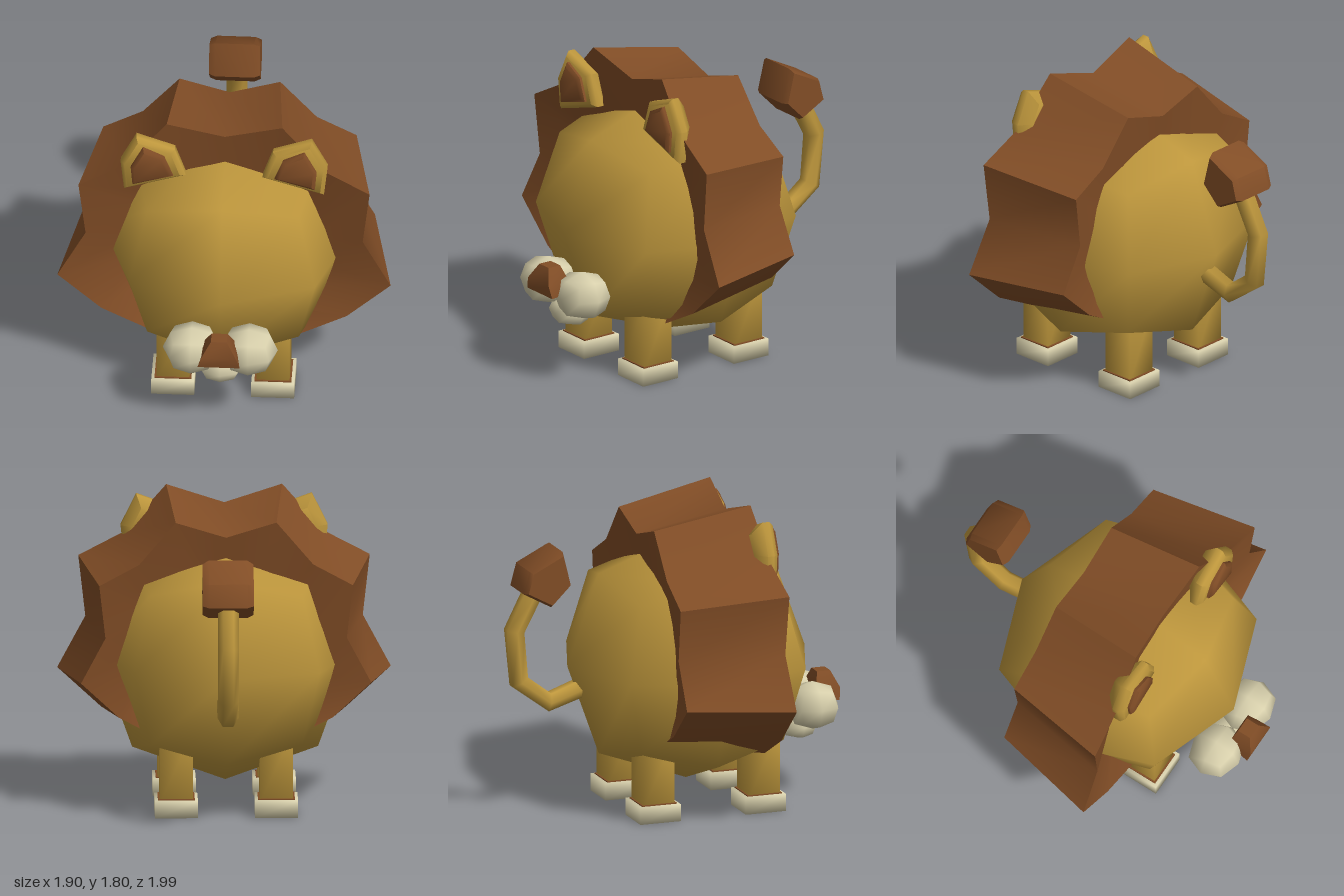
import * as THREE from 'three';
import { mergeVertices, toCreasedNormals } from 'three/addons/utils/BufferGeometryUtils.js';

const material = (name, color) => {
  const m = new THREE.MeshStandardMaterial({ color });
  m.name = name;
  return m;
};

// Weld corners and average the normals
function smooth(geo) {
  geo.deleteAttribute('normal');
  geo.deleteAttribute('uv');
  const g = mergeVertices(geo, 1e-4);
  g.computeVertexNormals();
  return g;
}

// Rounded ball made from a cube with each side split in four
function ball(rx, ry, rz) {
  const geo = new THREE.BoxGeometry(2, 2, 2, 2, 2, 2);
  const p = geo.attributes.position;
  const v = new THREE.Vector3();
  for (let i = 0; i < p.count; i++) {
    v.fromBufferAttribute(p, i);
    const r = v.lengthSq() > 1.5 ? 1.04 : 1;
    v.normalize().multiplyScalar(r);
    p.setXYZ(i, v.x * rx, v.y * ry, v.z * rz);
  }
  return smooth(geo);
}

// Closed solid through matching sections, each counterclockwise about the path
function loft(sections, crease = 0.9) {
  const n = sections[0].length, index = [];
  for (let i = 0; i < sections.length - 1; i++) {
    for (let j = 0; j < n; j++) {
      const a = i * n + j, b = i * n + (j + 1) % n;
      index.push(a, b, b + n, a, b + n, a + n);
    }
  }
  const last = (sections.length - 1) * n;
  for (let j = 1; j < n - 1; j++) {
    index.push(0, j + 1, j, last, last + j, last + j + 1);
  }
  const geo = new THREE.BufferGeometry();
  geo.setAttribute('position', new THREE.Float32BufferAttribute(sections.flat(2), 3));
  geo.setIndex(index);
  return toCreasedNormals(geo, crease);
}

// Outline in x and y placed at depth z, scaled about its middle, mirrored by side
function outline(points, z, scale, side) {
  const cx = points.reduce((s, p) => s + p[0], 0) / points.length;
  const cy = points.reduce((s, p) => s + p[1], 0) / points.length;
  const out = points.map(([x, y]) => [side * (cx + (x - cx) * scale), cy + (y - cy) * scale, z]);
  return side < 0 ? out.reverse() : out;
}

export function createModel() {
  const model = new THREE.Group();
  model.name = 'lion';
  const gold = material('golden fur', 0xbd963c);
  const brown = material('brown mane', 0x814d26);
  const cream = material('cream fur', 0xd8d0ac);
  const add = (name, geo, mat, x = 0, y = 0, z = 0) => {
    const mesh = new THREE.Mesh(geo, mat);
    mesh.name = name;
    mesh.position.set(x, y, z);
    model.add(mesh);
    return mesh;
  };

  // Body
  add('body', ball(0.72, 0.72, 0.72), gold, 0, 0.86, 0.1);

  // Mane: jagged arch, wider in front and open under the belly
  const half = [[0.43, 0.36, 0.42], [0.7, 0.5, 0.42], [0.95, 0.73, 0.42], [0.79, 1.03, 0.41],
    [0.83, 1.38, 0.42], [0.57, 1.52, 0.4], [0.33, 1.8, 0.37], [0, 1.7, 0.34]];
  const arch = [...half, ...half.slice(0, -1).reverse().map(([x, y, z]) => [-x, y, z])];
  add('mane', loft(arch.map(([x, y, z]) => {
    const k = 0.52 / Math.hypot(x, y - 0.86);
    const ix = x * k, iy = 0.86 + (y - 0.86) * k;
    return [[x, y, z], [x * 0.87, 0.95 + (y - 0.95) * 0.87, -0.2], [ix, iy, -0.16], [ix, iy, 0.3]];
  }), 1.0), brown);

  // Ears
  const ear = [[0.22, 1.48], [0.57, 1.37], [0.59, 1.56], [0.5, 1.74], [0.28, 1.66]];
  const innerEar = [[0.29, 1.5], [0.52, 1.43], [0.53, 1.55], [0.46, 1.69], [0.34, 1.63]];
  for (const side of [1, -1]) {
    const label = side > 0 ? 'left' : 'right';
    add(label + 'Ear', loft([[0.32, 0.6], [0.38, 1], [0.42, 1], [0.445, 0.85]]
      .map(([z, s]) => outline(ear, z, s, side))), gold);
    add(label + 'InnerEar', loft([[0.42, 1], [0.46, 1], [0.475, 0.8]]
      .map(([z, s]) => outline(innerEar, z, s, side))), brown);

    // Legs and paws
    for (const [end, z] of [['Front', 0.435], ['Back', -0.205]]) {
      add(label + end + 'Leg', smooth(new THREE.BoxGeometry(0.19, 0.42, 0.19)), gold, side * 0.285, 0.29, z);
      add(label + end + 'Paw', smooth(new THREE.BoxGeometry(0.245, 0.1, 0.245)), cream, side * 0.285, 0.05, z);
      add(label + end + 'PawTrim', new THREE.BoxGeometry(0.21, 0.008, 0.21), brown, side * 0.285, 0.102, z);
    }

    // Cheeks
    add(label + 'Cheek', ball(0.165, 0.14, 0.15), cream, side * 0.163, 0.54, 0.81);
  }

  // Chin and nose
  add('chin', ball(0.13, 0.085, 0.11), cream, 0, 0.395, 0.775);
  add('nose', loft([
    [[-0.1, 0.54, 0.87], [-0.12, 0.54, 0.99], [0.12, 0.54, 0.99], [0.1, 0.54, 0.87]],
    [[-0.09, 0.63, 0.86], [-0.1, 0.61, 1], [0.1, 0.61, 1], [0.09, 0.63, 0.86]],
    [[-0.045, 0.7, 0.88], [-0.045, 0.7, 0.96], [0.045, 0.7, 0.96], [0.045, 0.7, 0.88]],
  ]), brown);

  // Tail: tube with its rings exactly at the bends
  const path = new THREE.CatmullRomCurve3([[0.76, -0.45], [0.665, -0.735], [0.8, -0.915], [1.1, -0.943],
    [1.3, -0.84], [1.4, -0.79]].map(([y, z]) => new THREE.Vector3(0, y, z)));
  path.getPointAt = (u, t) => path.getPoint(u, t);
  path.getTangentAt = (u, t) => path.getTangent(u, t);
  add('tail', new THREE.TubeGeometry(path, 5, 0.06, 6), gold);

  // Tail tuft
  const tuft = [[1.57, -0.69], [1.47, -0.89], [1.34, -0.925], [1.25, -0.76], [1.37, -0.64]];
  add('tailTuft', loft([[-0.145, 0.88], [-0.11, 1], [0.11, 1], [0.145, 0.88]].map(([x, s]) =>
    tuft.map(([y, z]) => [x, 1.4 + (y - 1.4) * s, -0.78 + (z + 0.78) * s]).reverse())), brown);

  return model;
}
